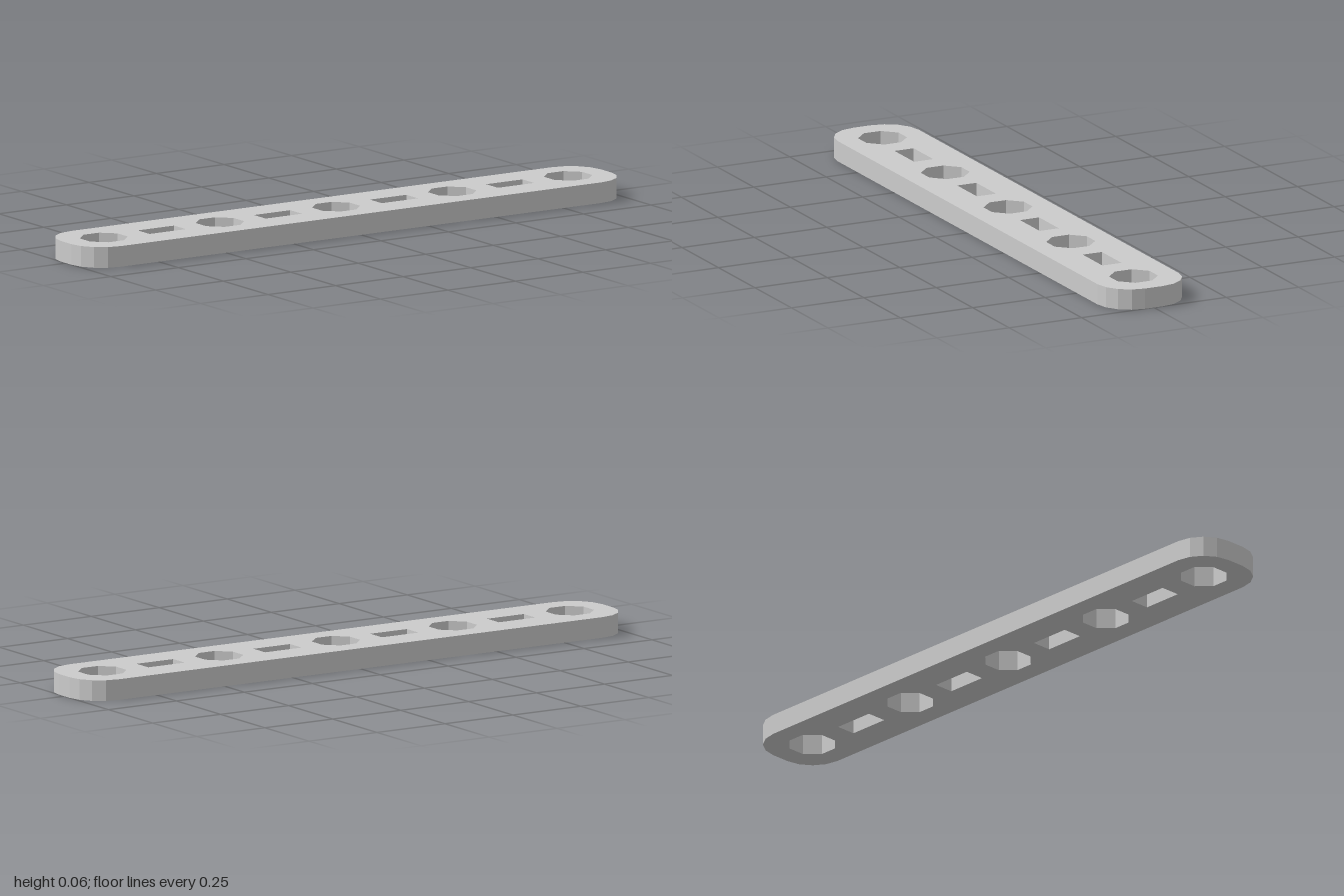
import * as THREE from 'three';

const HALF_LENGTH = 1, HALF_WIDTH = 0.14, CORNER = 0.11, HEIGHT = 0.065;
const PITCH = 0.43, HOLE_APOTHEM = 0.07, SLOT_X = 0.0675, SLOT_Z = 0.033;

// Points on an arc, in equal steps
function arc(cx, cy, r, start, sweep, steps) {
  return Array.from({ length: steps + 1 }, (_, i) => {
    const a = start + (sweep * i) / steps;
    return new THREE.Vector2(cx + r * Math.cos(a), cy + r * Math.sin(a));
  });
}

export function createModel() {
  const group = new THREE.Group();
  group.name = 'perforatedBar';

  // Outline: rectangle with four faceted round corners
  const cx = HALF_LENGTH - CORNER, cy = HALF_WIDTH - CORNER;
  const corners = [[1, 1], [-1, 1], [-1, -1], [1, -1]];
  const shape = new THREE.Shape(corners.flatMap(([sx, sy], i) =>
    arc(sx * cx, sy * cy, CORNER, (i * Math.PI) / 2, Math.PI / 2, 4)));

  // Five octagonal holes
  const radius = HOLE_APOTHEM / Math.cos(Math.PI / 8);
  for (let i = -2; i <= 2; i++) {
    const points = arc(i * PITCH, 0, radius, Math.PI / 8, Math.PI * 2, 8).slice(0, 8);
    shape.holes.push(new THREE.Path(points));
  }

  // Four rectangular slots midway between the holes
  for (let i = -1.5; i <= 1.5; i++) {
    shape.holes.push(new THREE.Path(corners.map(([sx, sy]) =>
      new THREE.Vector2(i * PITCH + sx * SLOT_X, sy * SLOT_Z))));
  }

  // Lay the extruded plate flat on the ground
  const geometry = new THREE.ExtrudeGeometry(shape, { depth: HEIGHT, bevelEnabled: false });
  geometry.rotateX(-Math.PI / 2);
  const bar = new THREE.Mesh(geometry,
    new THREE.MeshStandardMaterial({ color: 0xcccccc, flatShading: true }));
  bar.name = 'bar';
  group.add(bar);
  return group;
}
